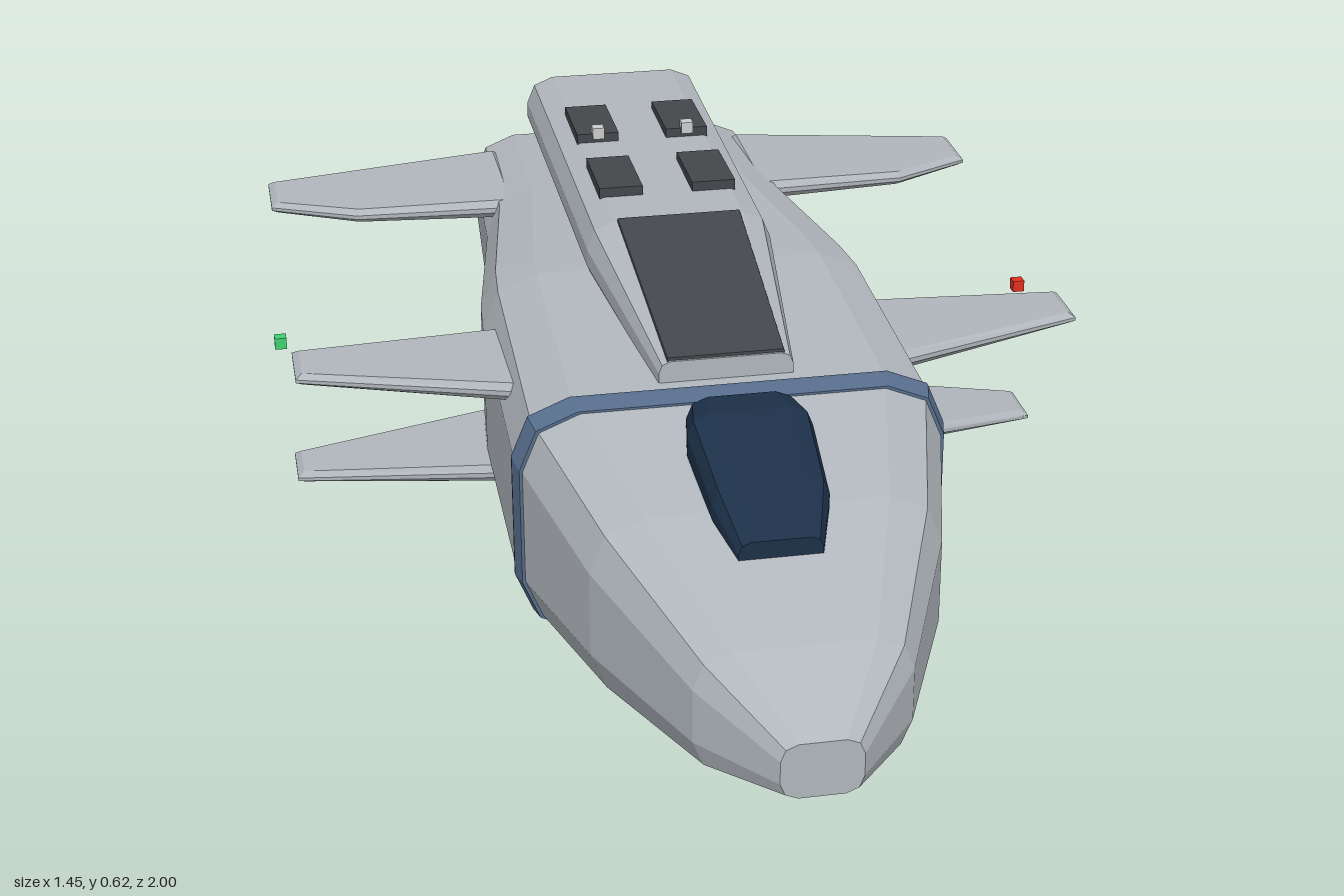
import * as THREE from 'three';

const mat = (color) => new THREE.MeshStandardMaterial({ color, flatShading: true });
const hullGrey = mat(0xb0b6bc), darkGrey = mat(0x43474b), rearGrey = mat(0x3a3f44);
const bellyBlack = mat(0x24282c), glass = mat(0x1c3048), stripeBlue = mat(0x566d8c);
const glow = mat(0x78b4dc), lightGrey = mat(0xcccccc), red = mat(0xe03020), green = mat(0x40d070);

// Rounded rectangle of 12 points, counter-clockwise seen from the front
function ring([z, w, y0, y1, r], cx = 0) {
  const pts = [];
  const corners = [[w - r, y1 - r], [r - w, y1 - r], [r - w, y0 + r], [w - r, y0 + r]];
  corners.forEach(([x, y], c) => {
    for (let k = 0; k < 3; k++) {
      const a = (c + k / 2) * Math.PI / 2;
      pts.push([cx + x + r * Math.cos(a), y + r * Math.sin(a), z]);
    }
  });
  return pts;
}

// Capped loft through sections [z, halfWidth, bottom, top, cornerRadius], front to back
function loft(sections, cx = 0) {
  const pos = sections.flatMap((s) => ring(s, cx)).flat();
  const idx = [], n = 12, last = (sections.length - 1) * n;
  for (let i = 0; i < sections.length - 1; i++) {
    for (let j = 0; j < n; j++) {
      const a = i * n + j, b = i * n + (j + 1) % n;
      idx.push(a, a + n, b, b, a + n, b + n);
    }
  }
  for (let j = 1; j < n - 1; j++) {
    idx.push(0, j, j + 1, last, last + j + 1, last + j);
  }
  const g = new THREE.BufferGeometry();
  g.setAttribute('position', new THREE.Float32BufferAttribute(pos, 3));
  g.setIndex(idx);
  g.computeVertexNormals();
  return g;
}

// Bevelled fin from an (x, z) outline, its height running from yRoot to yTip
function fin(outline, side, yRoot, yTip) {
  const shape = new THREE.Shape(outline.map(([x, z]) => new THREE.Vector2(side * x, -z)));
  const g = new THREE.ExtrudeGeometry(shape, {
    depth: 0.008, bevelEnabled: true, bevelThickness: 0.01, bevelSize: 0.012, bevelOffset: -0.012, bevelSegments: 1,
  });
  g.translate(0, 0, -0.004).rotateX(-Math.PI / 2);
  const p = g.attributes.position;
  for (let i = 0; i < p.count; i++) {
    const t = (Math.abs(p.getX(i)) - 0.28) / 0.425;
    p.setY(i, p.getY(i) * (1.25 - 0.5 * t) + yRoot + (yTip - yRoot) * t);
  }
  g.computeVertexNormals();
  return g;
}

export function createModel() {
  const model = new THREE.Group();
  const add = (name, geometry, material, x = 0, y = 0, z = 0) => {
    const m = new THREE.Mesh(geometry, material);
    m.name = name;
    m.position.set(x, y, z);
    model.add(m);
    return m;
  };

  // Main body
  add('hull', loft([
    [1.0, 0.065, 0.115, 0.21, 0.028],
    [0.87, 0.173, 0.088, 0.30, 0.06],
    [0.6, 0.288, 0.066, 0.395, 0.09],
    [0.3, 0.366, 0.05, 0.463, 0.1],
    [-0.17, 0.36, 0.05, 0.492, 0.1],
    [-0.27, 0.352, 0.055, 0.49, 0.1],
    [-0.6, 0.3, 0.16, 0.482, 0.09],
    [-0.95, 0.282, 0.233, 0.468, 0.08],
  ]), hullGrey);
  add('rearPlate', loft([
    [-0.95, 0.28, 0.235, 0.466, 0.08],
    [-0.96, 0.275, 0.24, 0.462, 0.08],
  ]), rearGrey);
  add('hullStripe', loft([
    [0.335, 0.362, 0.048, 0.459, 0.1],
    [0.3, 0.37, 0.046, 0.467, 0.1],
    [0.292, 0.37, 0.046, 0.467, 0.1],
  ]), stripeBlue);

  // Cockpit glass
  add('canopy', loft([
    [0.7, 0.068, 0.34, 0.39, 0.02],
    [0.62, 0.095, 0.36, 0.455, 0.035],
    [0.46, 0.104, 0.39, 0.498, 0.035],
    [0.39, 0.092, 0.4, 0.494, 0.035],
  ]), glass);

  // Raised spine with its sloped panel and vents
  add('spine', loft([
    [0.265, 0.115, 0.44, 0.503, 0.02],
    [-0.17, 0.168, 0.45, 0.582, 0.05],
    [-0.92, 0.174, 0.465, 0.598, 0.052],
  ]), hullGrey);
  add('spineEnd', loft([
    [-0.92, 0.173, 0.466, 0.597, 0.052],
    [-0.93, 0.17, 0.469, 0.594, 0.052],
  ]), rearGrey);
  add('spinePanel', loft([
    [0.262, 0.1, 0.49, 0.509, 0.003],
    [-0.17, 0.112, 0.57, 0.588, 0.003],
  ]), darkGrey);

  // Underside skid plate
  add('bellyPlate', loft([
    [0.645, 0.11, 0.036, 0.085, 0.01],
    [0.33, 0.18, 0.03, 0.075, 0.015],
    [-0.27, 0.19, 0.025, 0.075, 0.015],
    [-0.54, 0.13, 0.088, 0.16, 0.015],
  ]), bellyBlack);

  const cube = new THREE.BoxGeometry(0.022, 0.022, 0.022);
  for (const side of [1, -1]) {
    const label = side > 0 ? 'left' : 'right';

    // Fins
    add(label + 'RearFin', fin([[0.24, -0.9], [0.705, -0.9], [0.705, -0.77], [0.545, -0.668], [0.24, -0.605]], side, 0.44, 0.413), hullGrey);
    add(label + 'FrontFin', fin([[0.3, -0.105], [0.705, -0.13], [0.705, -0.015], [0.3, 0.16]], side, 0.41, 0.39), hullGrey);
    add(label + 'LowerFin', fin([[0.26, -0.33], [0.705, -0.36], [0.705, -0.255], [0.26, -0.04]], side, 0.15, 0.076), hullGrey);

    // Engine outlets
    add(label + 'Engine', loft([
      [-0.94, 0.07, 0.24, 0.424, 0.04],
      [-0.98, 0.068, 0.242, 0.422, 0.04],
      [-0.998, 0.058, 0.252, 0.412, 0.035],
    ], side * 0.153), rearGrey);
    add(label + 'EngineGlow', loft([
      [-0.99, 0.044, 0.268, 0.396, 0.025],
      [-1.0, 0.044, 0.268, 0.396, 0.025],
    ], side * 0.153), glow);

    // Vents, sensors and lamps
    for (const z of [-0.362, -0.632]) {
      const y = 0.592 - 0.02 * (z + 0.362);
      add(label + 'Vent', new THREE.BoxGeometry(0.08, 0.02, 0.158), darkGrey, side * 0.086, y, z);
    }
    add(label + 'TopSensor', cube, lightGrey, side * 0.086, 0.61, -0.555);
    add(label + 'BellySensor', cube, lightGrey, side * 0.175, 0.011, 0.125);
    add(label + 'Lamp', cube, side > 0 ? red : green, side * 0.716, 0.293, -0.402);
  }
  return model;
}
